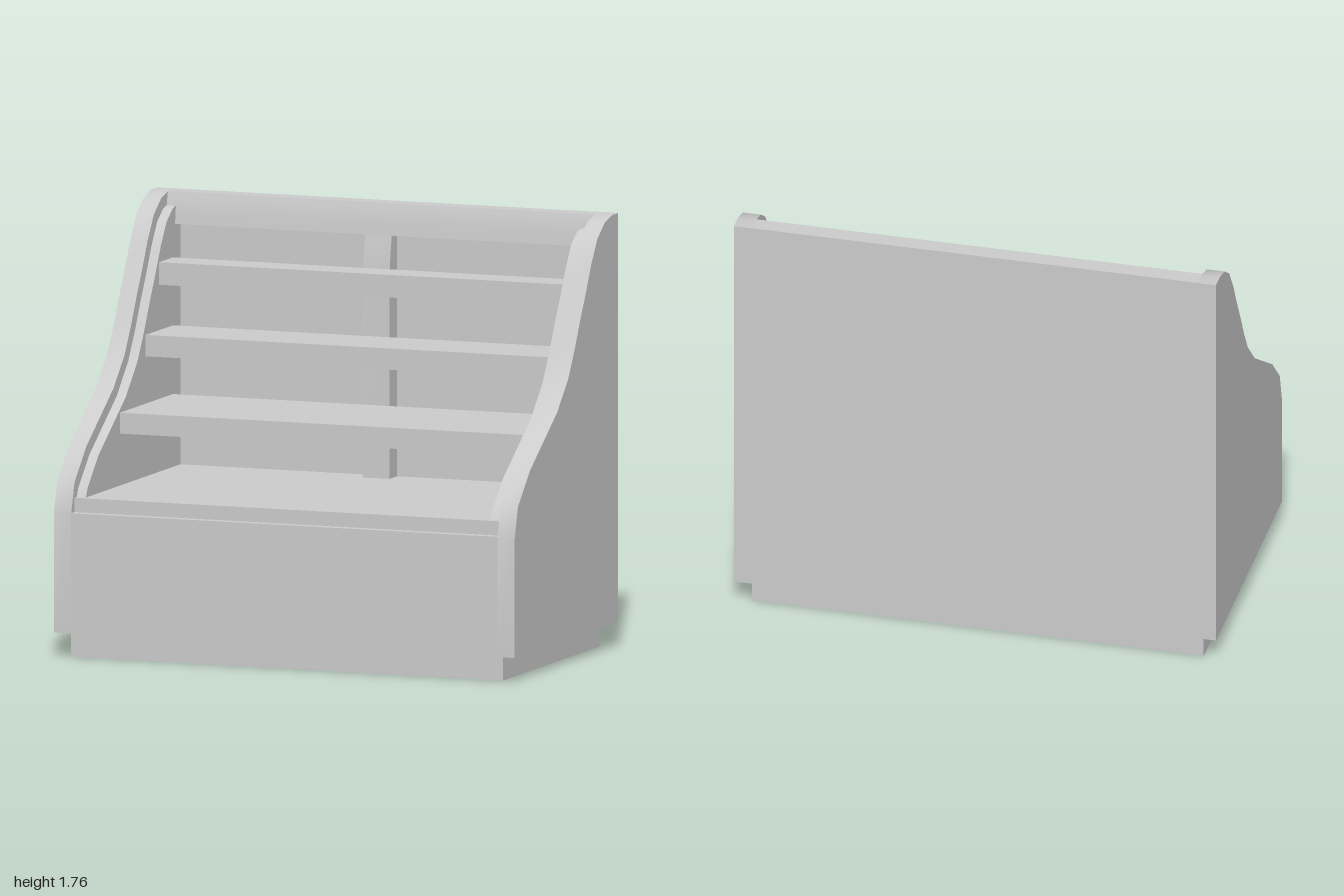
import * as THREE from 'three';
import { toCreasedNormals } from 'three/addons/utils/BufferGeometryUtils.js';

const material = new THREE.MeshStandardMaterial({ color: 0xcccccc });

// Curved upper edge of the side panels as [z, y], from front to back
const CURVE = [
  [0.567, 0.58], [0.53, 0.71], [0.4, 0.84], [0.25, 0.94], [0.1, 1.04], [-0.02, 1.16],
  [-0.09, 1.27], [-0.15, 1.38], [-0.21, 1.48], [-0.27, 1.59], [-0.34, 1.69],
  [-0.42, 1.745], [-0.5, 1.765],
];
const BACK = -0.567, TOP = 1.765, WALL = -0.53;

export function createModel() {
  const group = new THREE.Group();

  const add = (name, geometry) => {
    const mesh = new THREE.Mesh(geometry, material);
    mesh.name = name;
    group.add(mesh);
  };

  // Box given by its limits on each axis
  const box = (name, [x0, x1], [y0, y1], [z0, z1]) => {
    const geometry = new THREE.BoxGeometry(x1 - x0, y1 - y0, z1 - z0);
    geometry.translate((x0 + x1) / 2, (y0 + y1) / 2, (z0 + z1) / 2);
    add(name, geometry);
  };

  // Side-on outline of [z, y] points stretched from x0 to x1
  const profile = (name, points, x0, x1) => {
    const shape = new THREE.Shape(points.map(([z, y]) => new THREE.Vector2(z, y)));
    const geometry = new THREE.ExtrudeGeometry(shape, { depth: x1 - x0, bevelEnabled: false });
    geometry.rotateY(-Math.PI / 2).translate(x1, 0, 0);
    add(name, toCreasedNormals(geometry, 0.6));
  };

  // Curve moved inward along its normals
  const inset = (distance) => CURVE.map(([z, y], i) => {
    const a = CURVE[Math.max(i - 1, 0)], b = CURVE[Math.min(i + 1, CURVE.length - 1)];
    const dz = b[0] - a[0], dy = b[1] - a[1], length = Math.hypot(dz, dy);
    return [z - (dy / length) * distance, y + (dz / length) * distance];
  });

  // Plinth and lower cabinet
  box('plinth', [-0.94, 0.935], [0, 0.1], [-0.53, 0.53]);
  box('lowerCabinet', [-0.925, 0.925], [0.1, 0.59], [BACK, 0.567]);
  box('displayDeck', [-0.925, 0.925], [0.59, 0.648], [WALL, 0.53]);

  // Outer side panels, and lower inner panels that leave a step
  const outer = [[BACK, 0.1], [0.567, 0.1], ...CURVE, [BACK, TOP]];
  profile('leftSidePanel', outer, 0.925, 1);
  profile('rightSidePanel', outer, -1, -0.925);
  const innerCurve = inset(0.05);
  const inner = [[WALL, 0.62], [0.518, 0.62], ...innerCurve.slice(1), [WALL, 1.71]];
  profile('leftInnerPanel', inner, 0.872, 0.925);
  profile('rightInnerPanel', inner, -0.925, -0.885);

  // Back wall, curved header and centre post
  box('backWall', [-0.925, 0.925], [0.59, TOP], [BACK, WALL]);
  profile('header', [[WALL, 1.635], [-0.47, 1.635], [-0.476, 1.69], [-0.483, 1.73],
    [-0.493, TOP], [WALL, TOP]], -0.925, 0.925);
  profile('centrePost', [[WALL, 0.648], [-0.448, 0.648], [-0.448, 1.45], [-0.452, 1.53],
    [-0.47, 1.635], [WALL, 1.635]], -0.06, 0.055);

  // Shelves, deeper towards the bottom: [bottom, top, front]
  [[0.86, 0.945, 0.135], [1.138, 1.225, -0.145], [1.41, 1.502, -0.295]].forEach(
    ([y0, y1, front], i) => box(`shelf${i + 1}`, [-0.885, 0.872], [y0, y1], [-0.447, front]));

  return group;
}
